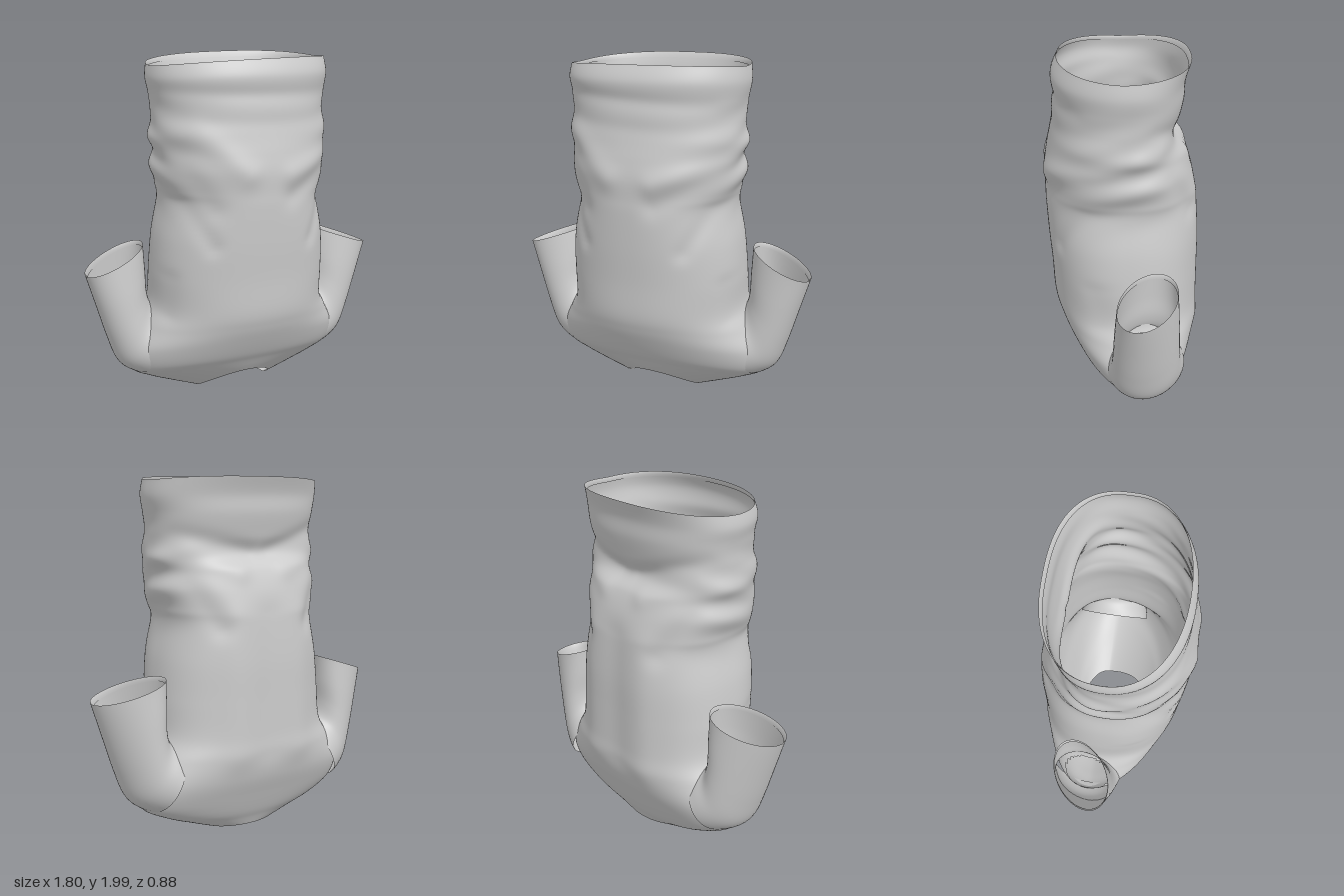
import * as THREE from 'three';

const cloth = new THREE.MeshStandardMaterial({ color: 0xcccccc, side: THREE.DoubleSide });

// Smoothly interpolate rows of a table at t in 0..1
function sample(rows, t) {
  const u = t * (rows.length - 1), i = Math.min(Math.floor(u), rows.length - 2), f = u - i;
  const p = k => rows[Math.max(0, Math.min(rows.length - 1, k))];
  return rows[i].map((b, k) => {
    const a = p(i - 1)[k], c = p(i + 1)[k], d = p(i + 2)[k];
    return b + 0.5 * f * (c - a + f * (2 * a - 5 * b + 4 * c - d + f * (3 * (b - c) + d - a)));
  });
}

// Skin a closed ring swept along t; cut(x, y, z) leaves faces out
function loft(name, point, rows, cols, cut = () => false) {
  const pos = [], index = [];
  for (let j = 0; j <= rows; j++)
    for (let i = 0; i < cols; i++) pos.push(...point(j / rows, (i / cols) * Math.PI * 2));
  for (let j = 0; j < rows; j++)
    for (let i = 0; i < cols; i++) {
      const a = j * cols + i, b = j * cols + (i + 1) % cols, c = a + cols, d = b + cols;
      if (cut(pos[a * 3], pos[a * 3 + 1], pos[a * 3 + 2])) continue;
      index.push(a, c, b, b, c, d);
    }
  const g = new THREE.BufferGeometry();
  g.setAttribute('position', new THREE.Float32BufferAttribute(pos, 3));
  g.setIndex(index);
  g.computeVertexNormals();
  const mesh = new THREE.Mesh(g, cloth);
  mesh.name = name;
  return mesh;
}

const pow = (v, e) => Math.sign(v) * Math.abs(v) ** e;

// Body rings, collar to hem:
// half width, front z, back z, widest z, front y, side y, back y, front squareness
const RINGS = [
  [0.225, 0.17, -0.24, -0.10, 0.17, 0.005, 0.012, 2],
  [0.37, 0.20, -0.265, -0.10, 0.21, 0.06, 0.06, 2],
  [0.53, 0.235, -0.30, -0.10, 0.26, 0.125, 0.12, 2],
  [0.64, 0.28, -0.35, -0.10, 0.32, 0.19, 0.23, 2],
  [0.665, 0.335, -0.40, -0.10, 0.42, 0.32, 0.35, 2],
  [0.59, 0.375, -0.43, -0.08, 0.51, 0.47, 0.48, 2.1],
  [0.525, 0.40, -0.43, -0.05, 0.61, 0.60, 0.60, 2.2],
  [0.515, 0.41, -0.43, -0.01, 0.80, 0.80, 0.80, 2.2],
  [0.495, 0.425, -0.43, 0, 1.0, 1.0, 1.0, 2.2],
  [0.455, 0.435, -0.42, 0, 1.2, 1.2, 1.2, 2.2],
  [0.47, 0.435, -0.41, 0, 1.29, 1.29, 1.29, 2.2],
  [0.50, 0.435, -0.385, 0, 1.40, 1.40, 1.40, 2.2],
  [0.49, 0.42, -0.345, 0, 1.50, 1.50, 1.50, 2.2],
  [0.515, 0.40, -0.29, 0, 1.60, 1.58, 1.58, 2.2],
  [0.495, 0.39, -0.31, 0, 1.70, 1.68, 1.68, 2.2],
  [0.505, 0.38, -0.335, 0, 1.81, 1.80, 1.80, 2.2],
  [0.52, 0.385, -0.34, 0, 1.91, 1.89, 1.90, 2.2],
  [0.51, 0.35, -0.37, 0, 1.995, 1.965, 1.995, 2.2],
];

// Creases (side, x1, y1, x2, y2, width, height); side 1 is the front
const FOLDS = [
  [1, -0.38, 1.62, -0.12, 1.40, 0.07, 0.016], [1, 0.48, 1.50, 0.14, 1.38, 0.06, 0.014],
  [1, 0.45, 1.42, 0.15, 1.26, 0.06, -0.014], [1, -0.45, 1.46, -0.3, 1.2, 0.06, -0.014],
  [1, -0.42, 1.22, -0.30, 1.0, 0.045, -0.016], [1, 0.42, 1.22, 0.30, 1.0, 0.045, -0.016],
  [1, -0.5, 1.83, 0.4, 1.79, 0.04, -0.006], [1, -0.4, 1.68, 0.45, 1.65, 0.05, -0.006],
  [-1, -0.45, 1.72, -0.05, 1.60, 0.045, -0.015], [-1, 0.45, 1.70, 0.05, 1.60, 0.045, -0.015],
  [-1, -0.42, 1.60, -0.15, 1.50, 0.06, 0.016], [-1, 0.42, 1.60, 0.15, 1.50, 0.06, 0.016],
  [-1, -0.42, 1.42, -0.28, 1.2, 0.06, -0.018], [-1, 0.42, 1.42, 0.28, 1.2, 0.06, -0.018],
  [-1, -0.21, 0.5, -0.21, 1.25, 0.09, 0.012], [-1, 0.21, 0.5, 0.21, 1.25, 0.09, 0.012],
  [-1, 0, 0.5, 0, 1.25, 0.08, -0.01],
  [1, -0.51, 0.58, -0.49, 0.8, 0.04, -0.02], [1, 0.51, 0.58, 0.49, 0.8, 0.04, -0.02],
];

function crease(x, y, s) {
  let h = 0;
  for (const [side, x1, y1, x2, y2, w, a] of FOLDS) {
    if (side * s <= 0) continue;
    const dx = x2 - x1, dy = y2 - y1;
    const k = Math.max(0, Math.min(1, ((x - x1) * dx + (y - y1) * dy) / (dx * dx + dy * dy)));
    h += a * Math.exp(-((x - x1 - k * dx) ** 2 + (y - y1 - k * dy) ** 2) / (w * w));
  }
  return h * Math.sqrt(Math.abs(s));
}

function bodyPoint(t, a) {
  const [w, zf, zb, zc, yf, ys, yb, nf] = sample(RINGS, t);
  const c = Math.cos(a), s = Math.sin(a);
  // the back is flatter than the front, except at the collar
  const n = s > 0 ? nf : 2 + Math.min(0.4, t * 3);
  const x = w * pow(c, 2 / n);
  const y = ys + ((s > 0 ? yf : yb) - ys) * Math.abs(s) ** 1.2 + 0.012 * c * Math.max(0, t - 0.9) * 10;
  const z = zc + (s > 0 ? zf - zc : zc - zb) * pow(s, 2 / n);
  const h = crease(x, y, s);
  // small slanting wrinkles gathered at the waist sides
  const ripple = 0.009 * Math.sin(y * 38 + z * 9) * c ** 4 * Math.exp(-(((y - 1.5) / 0.22) ** 2));
  return [x + c * (0.5 * h + ripple), y, z + s * h];
}

// Sleeve rings, shoulder to cuff: inner x, y, outer x, y, half depth
const SLEEVE = [
  [0.40, 0.50, 0.55, 0.15, 0.235],
  [0.46, 0.55, 0.65, 0.195, 0.215],
  [0.51, 0.59, 0.725, 0.265, 0.192],
  [0.53, 0.67, 0.78, 0.41, 0.18],
  [0.528, 0.79, 0.84, 0.61, 0.17],
  [0.53, 0.935, 0.90, 0.81, 0.155],
];

function sleevePoint(t, a) {
  const [ax, ay, bx, by, d] = sample(SLEEVE, t);
  const c = Math.cos(a), k = (1 + c) / 2;
  return [ax + (bx - ax) * k, ay + (by - ay) * k, -0.112 + d * Math.sin(a) + 0.06 * t * c];
}

// Turned-in band lying just inside an opening
function hem(name, point, t0, t1, cols, inset, centre) {
  return loft(name, (t, a) => {
    const p = point(t0 + (t1 - t0) * t, a), k = 1 - inset * Math.sin(t * Math.PI / 2);
    return [centre[0] + (p[0] - centre[0]) * k, p[1], centre[1] + (p[2] - centre[1]) * k];
  }, 4, cols);
}

export function createModel() {
  const shirt = new THREE.Group();
  shirt.name = 'shirt';

  // Body, open where the sleeves join
  const armhole = (x, y, z) =>
    Math.abs(x) > 0.45 && ((z + 0.1) / 0.14) ** 2 + ((y - 0.41) / 0.145) ** 2 < 1;
  shirt.add(loft('body', bodyPoint, 136, 128, armhole));
  shirt.add(hem('bottomHem', bodyPoint, 1, 0.975, 128, 0.015, [0, 0]));

  // Sleeves, mirrored left and right; the base rings stay buried in the shoulder
  for (const side of [1, -1]) {
    const point = (t, a) => {
      const p = sleevePoint(t, side * a);
      return [side * p[0], p[1], p[2]];
    };
    const sleeve = new THREE.Group();
    sleeve.name = side > 0 ? 'leftSleeve' : 'rightSleeve';
    sleeve.add(loft('sleeveTube', (t, a) => point(0.12 + 0.88 * t, a), 32, 48));
    sleeve.add(hem('cuffHem', point, 1, 0.95, 48, 0.03, [side * 0.71, -0.11]));
    shirt.add(sleeve);
  }
  return shirt;
}
